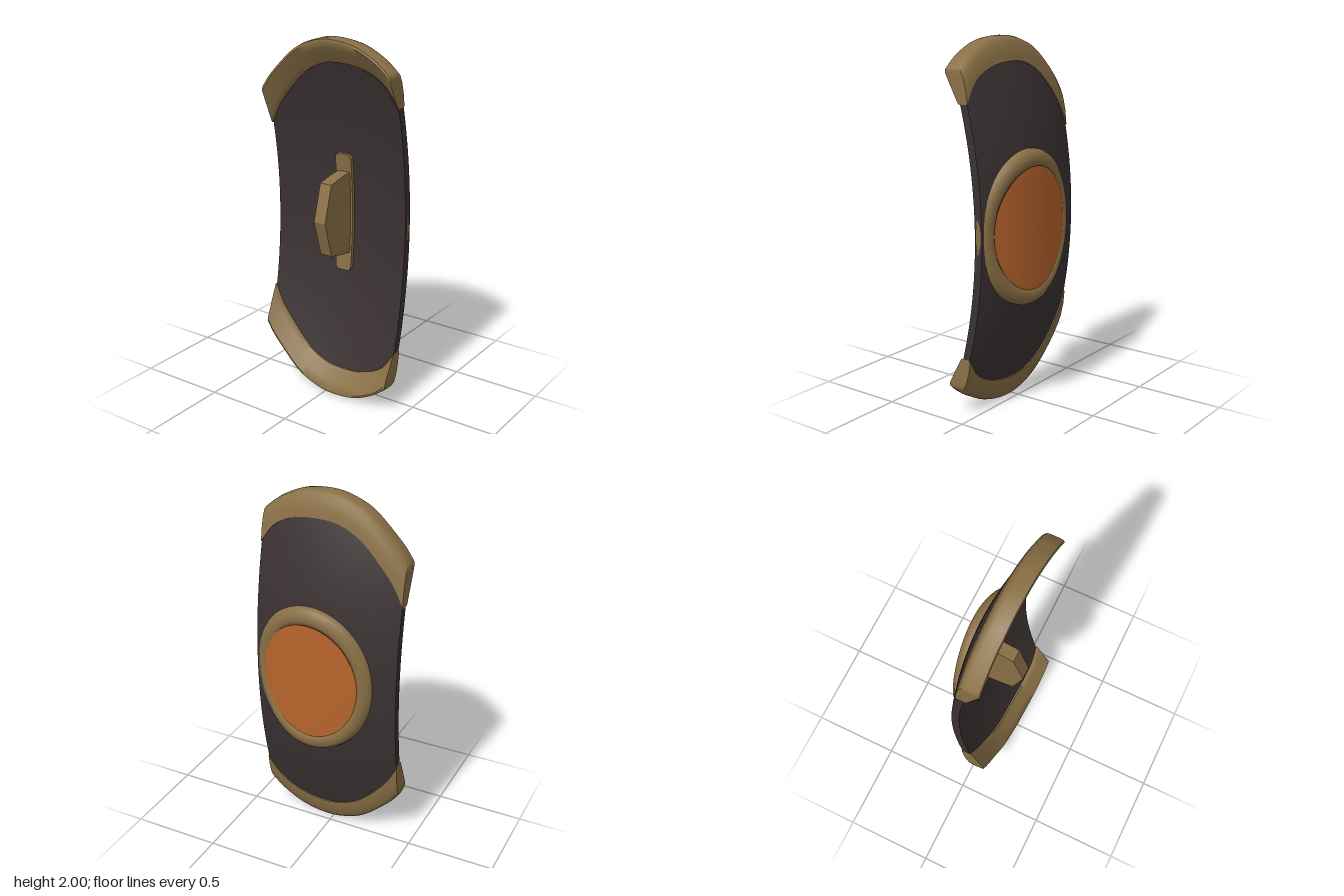
import * as THREE from 'three';
import { toCreasedNormals } from 'three/addons/utils/BufferGeometryUtils.js';

const panelMat = new THREE.MeshStandardMaterial({ color: 0x3b3232 });
panelMat.name = 'dark panel';
const trimMat = new THREE.MeshStandardMaterial({ color: 0x8a7046 });
trimMat.name = 'bronze trim';
const discMat = new THREE.MeshStandardMaterial({ color: 0xb8642c });
discMat.name = 'orange disc';

// Outer face of the curved panel, and the flatter bulge of the boss
const surf = (x, y) => -0.14 + 0.4 * x * x + 0.19 * (y - 1) ** 2;
const bulge = (x, y) => -0.165 + 0.41 * x * x + 0.25 * x ** 3 + 0.03 * (y - 1) ** 2;
const THICK = 0.045;

// Arched upper edge: outer and inner lines of the rim share their x stations
const xs = [-0.42, -0.35, -0.2, -0.07, 0.05, 0.2, 0.33, 0.412];
const spline = ys => new THREE.SplineCurve(xs.map((x, i) => new THREE.Vector2(x, ys[i])));
const outerLine = spline([1.7, 1.79, 1.925, 1.983, 2, 1.98, 1.92, 1.855]);
const innerLine = spline([1.48, 1.61, 1.775, 1.848, 1.865, 1.848, 1.785, 1.675]);
const STEPS = 42;

// Skin a row of closed loops; open rows get caps, and the solid is turned outward
function loft(sections, closed, crease) {
  const n = sections[0].length, m = sections.length;
  const idx = [];
  const quad = (a, b, c, d) => idx.push(a, b, c, a, c, d);
  for (let s = 0; s < (closed ? m : m - 1); s++) {
    const t = (s + 1) % m;
    for (let i = 0; i < n; i++) {
      const j = (i + 1) % n;
      quad(s * n + i, t * n + i, t * n + j, s * n + j);
    }
  }
  if (!closed) {
    const e = (m - 1) * n;
    for (let i = 0; i < n / 2 - 1; i++) {
      quad(i, i + 1, n - 2 - i, n - 1 - i);
      quad(e + n - 1 - i, e + n - 2 - i, e + i + 1, e + i);
    }
  }
  const pts = sections.flat().map(p => new THREE.Vector3(...p));
  let volume = 0;
  for (let k = 0; k < idx.length; k += 3) {
    volume += pts[idx[k]].dot(pts[idx[k + 1]].clone().cross(pts[idx[k + 2]]));
  }
  if (volume < 0) idx.reverse();
  const geo = new THREE.BufferGeometry().setFromPoints(pts);
  geo.setIndex(idx);
  return toCreasedNormals(geo, crease);
}

// Curved panel between the lower and upper arches
function panelGeometry() {
  const sections = [];
  for (let s = 0; s <= STEPS; s++) {
    const o = outerLine.getPoint(s / STEPS), i = innerLine.getPoint(s / STEPS);
    const x = o.x * 0.995, half = (o.y + i.y) / 2 - 1;
    const back = [], front = [];
    for (let k = 0; k <= 28; k++) {
      const y = 1 + half * (k / 14 - 1);
      back.push([x, y, surf(x, y)]);
      front.unshift([x, y, surf(x, y) + THICK]);
    }
    sections.push([...back, ...front]);
  }
  return loft(sections, false, 0.7);
}

// Thick rim along one arch: profile points are [inner to outer, depth]
function rimGeometry(sign) {
  const profile = [
    [0, 0.01], [0.04, -0.006], [0.4, -0.014], [0.75, -0.015], [0.95, -0.008], [1, 0.012],
    [1, 0.055], [0.96, 0.085], [0.86, 0.094], [0.55, 0.082], [0.2, 0.066], [0, 0.055],
  ];
  const sections = [];
  for (let s = 0; s <= STEPS; s++) {
    const o = outerLine.getPoint(s / STEPS), i = innerLine.getPoint(s / STEPS);
    sections.push(profile.map(([t, d]) => {
      const y = i.y + (o.y - i.y) * t;
      return [o.x, 1 + sign * (y - 1), surf(o.x, y) + d];
    }));
  }
  return loft(sections, false, 0.9);
}

// Oval ring of the boss, set a little to one side
const CX = 0.06;
function ringGeometry() {
  const sections = [];
  const profile = [[0, 0.03], [0.06, 0.012], [0.3, 0], [0.65, 0.002], [0.9, 0.016], [1, 0.035]];
  for (let s = 0; s < 64; s++) {
    const a = (s / 64) * Math.PI * 2;
    const at = t => [CX + (0.275 + 0.085 * t) * Math.cos(a), 1 + (0.325 + 0.098 * t) * Math.sin(a)];
    const loop = profile.map(([t, d]) => {
      const [x, y] = at(t);
      return [x, y, bulge(x, y) + d];
    });
    for (const t of [1, 0]) {
      const [x, y] = at(t);
      loop.push([x, y, surf(x, y) + 0.028]);
    }
    sections.push(loop);
  }
  return loft(sections, true, 0.9);
}

// Bulging oval disc inside the ring, facing the back
function discGeometry() {
  const geo = new THREE.RingGeometry(0.001, 1, 64, 8);
  geo.rotateY(Math.PI);
  const p = geo.attributes.position;
  for (let i = 0; i < p.count; i++) {
    const x = CX + p.getX(i) * 0.285, y = 1 + p.getY(i) * 0.335;
    p.setXYZ(i, x, y, bulge(x, y) + 0.004);
  }
  geo.computeVertexNormals();
  return geo;
}

// Mounting plate with clipped ends, following the panel's hollow side
function plateGeometry() {
  const sections = [];
  for (const y of [0.68, 0.7, 0.8, 0.9, 1.015, 1.13, 1.23, 1.33, 1.35]) {
    const w = y < 0.69 || y > 1.34 ? 0.036 : 0.05;
    const z = surf(0, y) + THICK;
    sections.push([[-w, y, z - 0.02], [w, y, z - 0.02], [w, y, z + 0.022], [-w, y, z + 0.022]]
      .map(([x, yy, zz]) => [x - 0.005, yy, zz]));
  }
  return loft(sections, false, 0.5);
}

// Solid angular grip
function gripGeometry() {
  const outline = [[-0.11, 0.785], [0, 0.795], [0.108, 0.818], [0.167, 1.02], [0.108, 1.222], [0, 1.245], [-0.11, 1.255]];
  const shape = new THREE.Shape(outline.map(p => new THREE.Vector2(...p)));
  const geo = new THREE.ExtrudeGeometry(shape, { depth: 0.072, bevelEnabled: false });
  geo.rotateY(-Math.PI / 2);
  geo.translate(0.033, 0, 0);
  return geo;
}

export function createModel() {
  const group = new THREE.Group();
  group.name = 'shield';
  const add = (name, geo, mat) => {
    const mesh = new THREE.Mesh(geo, mat);
    mesh.name = name;
    group.add(mesh);
  };
  add('panel', panelGeometry(), panelMat);
  add('upperRim', rimGeometry(1), trimMat);
  add('lowerRim', rimGeometry(-1), trimMat);
  add('bossRing', ringGeometry(), trimMat);
  add('bossDisc', discGeometry(), discMat);
  add('gripPlate', plateGeometry(), trimMat);
  add('grip', gripGeometry(), trimMat);
  return group;
}
